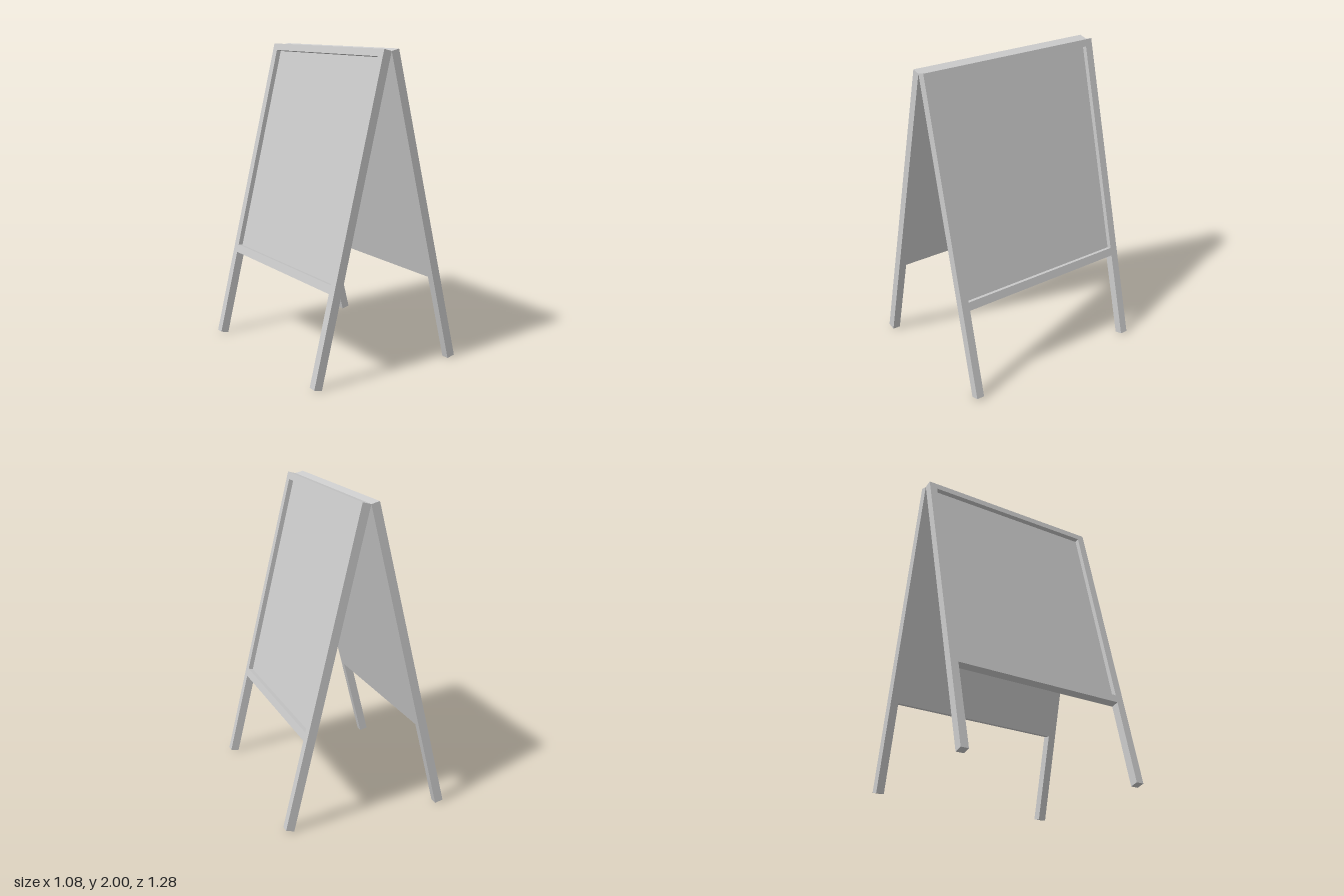
import * as THREE from 'three';

const material = new THREE.MeshStandardMaterial({ color: 0xcccccc, flatShading: true });

const TILT = 0.2396;      // lean of each side, radians
const THICK = 0.055;      // timber thickness
const LENGTH = 2.045;     // leg length along the slope
const HALF = 0.64;        // half width of the stand
const LEG = 0.052;        // leg width
const INNER = HALF - LEG; // half width of the opening
const BOARD = 0.024;      // panel thickness, flush with the inner face

// Box in the side's own frame: x outward, y up the slope, measured from the top hinge
function slab(name, thickness, top, bottom, z0, z1) {
  const mesh = new THREE.Mesh(new THREE.BoxGeometry(thickness, bottom - top, z1 - z0), material);
  mesh.name = name;
  mesh.position.set(thickness / 2, -(top + bottom) / 2, (z0 + z1) / 2);
  return mesh;
}

function createSide(name) {
  const frame = new THREE.Group();
  frame.add(
    slab('frontLeg', THICK, 0, LENGTH, INNER, HALF),
    slab('backLeg', THICK, 0, LENGTH, -HALF, -INNER),
    slab('topRail', THICK, 0, 0.045, -INNER, INNER),
    slab('bottomRail', THICK, 1.416, 1.47, -INNER, INNER),
    slab('board', BOARD, 0.045, 1.416, -INNER, INNER)
  );
  frame.position.y = 1.987;
  frame.rotation.z = TILT;
  const side = new THREE.Group();
  side.name = name;
  side.add(frame);
  return side;
}

export function createModel() {
  const model = new THREE.Group();
  model.name = 'sandwichBoard';
  // Two identical framed boards meeting at the top edge
  const left = createSide('leftSide');
  const right = createSide('rightSide');
  right.rotation.y = Math.PI;
  model.add(left, right);
  return model;
}
